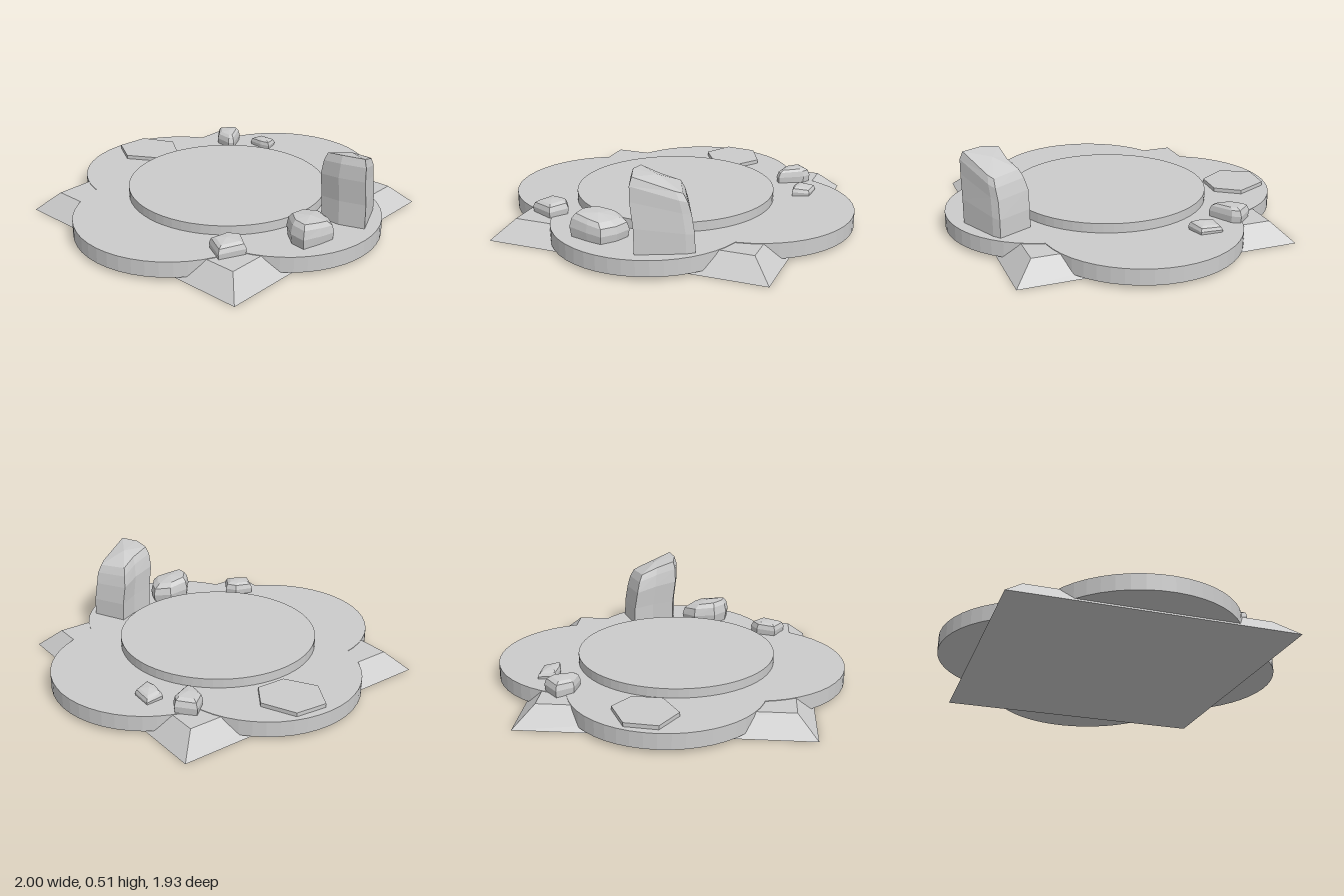
import * as THREE from 'three';

const material = new THREE.MeshStandardMaterial({ color: 0xcccccc, flatShading: true });

function add(group, name, geometry, x = 0, y = 0, z = 0) {
  const mesh = new THREE.Mesh(geometry, material);
  mesh.name = name;
  mesh.position.set(x, y, z);
  group.add(mesh);
}

// Closed loft of a plan outline [x, z] (clockwise from above).
// rows: [height fraction, scale, dx, dz]; tilt slopes the top along x and z.
function loft(outline, y0, height, rows, tilt = [0, 0], crown = 0) {
  const n = outline.length;
  const cx = outline.reduce((s, p) => s + p[0], 0) / n;
  const cz = outline.reduce((s, p) => s + p[1], 0) / n;
  const rings = rows.map(([t, s, dx = 0, dz = 0]) => outline.map(([px, pz]) => {
    const x = (px - cx) * s, z = (pz - cz) * s;
    return [cx + x + dx, y0 + t * (height + tilt[0] * x + tilt[1] * z), cz + z + dz];
  }));
  const last = rows[rows.length - 1];
  const top = [cx + (last[2] || 0), y0 + height + crown, cz + (last[3] || 0)];
  const bottom = [cx, y0, cz];
  const pos = [];
  const tri = (...points) => points.forEach((p) => pos.push(...p));
  for (let i = 0; i < n; i++) {
    const j = (i + 1) % n;
    for (let r = 0; r < rings.length - 1; r++) {
      const a = rings[r][i], b = rings[r][j], c = rings[r + 1][i], d = rings[r + 1][j];
      tri(b, a, c);
      tri(b, c, d);
    }
    tri(top, rings[rings.length - 1][j], rings[rings.length - 1][i]);
    tri(bottom, rings[0][i], rings[0][j]);
  }
  const geometry = new THREE.BufferGeometry();
  geometry.setAttribute('position', new THREE.Float32BufferAttribute(pos, 3));
  geometry.computeVertexNormals();
  return geometry;
}

export function createModel() {
  const group = new THREE.Group();
  group.name = 'rockyPlatform';

  // Square base with sloping sides
  const square = [[-0.81, -0.78], [0.757, -0.78], [0.757, 0.775], [-0.81, 0.775]];
  add(group, 'slopedBase', loft(square, 0, 0.105, [[0, 1], [1, 0.863]]));

  // Four overlapping round lobes
  const lobes = [
    ['leftLobe', 0.445, 0, 0.555], ['rightLobe', -0.445, 0, 0.555],
    ['frontLobe', -0.015, 0.42, 0.54], ['backLobe', -0.015, -0.425, 0.54],
  ];
  for (const [name, x, z, r] of lobes) {
    add(group, name, new THREE.CylinderGeometry(r, r, 0.088, 48), x, 0.064, z);
  }

  // Raised centre disc
  add(group, 'centreDisc', new THREE.CylinderGeometry(0.565, 0.565, 0.06, 64), -0.03, 0.131, 0.013);

  // Flat hexagonal slab on the back lobe
  const hexagon = [[-0.02, -0.925], [0.16, -0.905], [0.245, -0.72], [0.155, -0.59], [-0.01, -0.6], [-0.11, -0.765]];
  add(group, 'hexagonSlab', loft(hexagon, 0.1, 0.03, [[0, 1], [1, 1]]));

  // Tall leaning boulder
  add(group, 'tallBoulder', loft(
    [[0.045, 0.635], [0.17, 0.615], [0.28, 0.565], [0.368, 0.75], [0.33, 0.78], [0.095, 0.885], [0.045, 0.75]],
    0.1, 0.365,
    [[0, 1], [0.35, 1, -0.003], [0.68, 1, -0.02], [0.88, 0.94, -0.026, 0.01], [1, 0.82, -0.03, 0.015]],
    [-0.36, 0.1], 0.02));

  // Mid-sized boulder beside it
  add(group, 'midBoulder', loft(
    [[-0.23, 0.615], [-0.1, 0.61], [-0.02, 0.68], [-0.05, 0.76], [-0.11, 0.835], [-0.2, 0.82], [-0.31, 0.79], [-0.3, 0.7]],
    0.1, 0.125, [[0, 0.93], [0.45, 1], [0.8, 0.92], [1, 0.72, -0.01]],
    [-0.13, -0.08], 0.012));

  // Small stones: outline, height, top tilt
  const stones = [
    ['rightStone', [[-0.61, 0.42], [-0.5, 0.45], [-0.465, 0.51], [-0.53, 0.605], [-0.67, 0.54], [-0.65, 0.5]], 0.076, [0.06, -0.04]],
    ['backStone', [[0.555, -0.6], [0.635, -0.51], [0.61, -0.465], [0.475, -0.395], [0.455, -0.42], [0.47, -0.53]], 0.085, [0.06, 0]],
    ['leftStone', [[0.605, -0.36], [0.705, -0.365], [0.7, -0.24], [0.605, -0.21], [0.595, -0.27]], 0.053, [-0.12, 0.04]],
  ];
  for (const [name, outline, height, tilt] of stones) {
    add(group, name, loft(outline, 0.1, height, [[0, 0.95], [0.5, 1], [0.85, 0.88], [1, 0.65]], tilt, 0.006));
  }

  return group;
}
